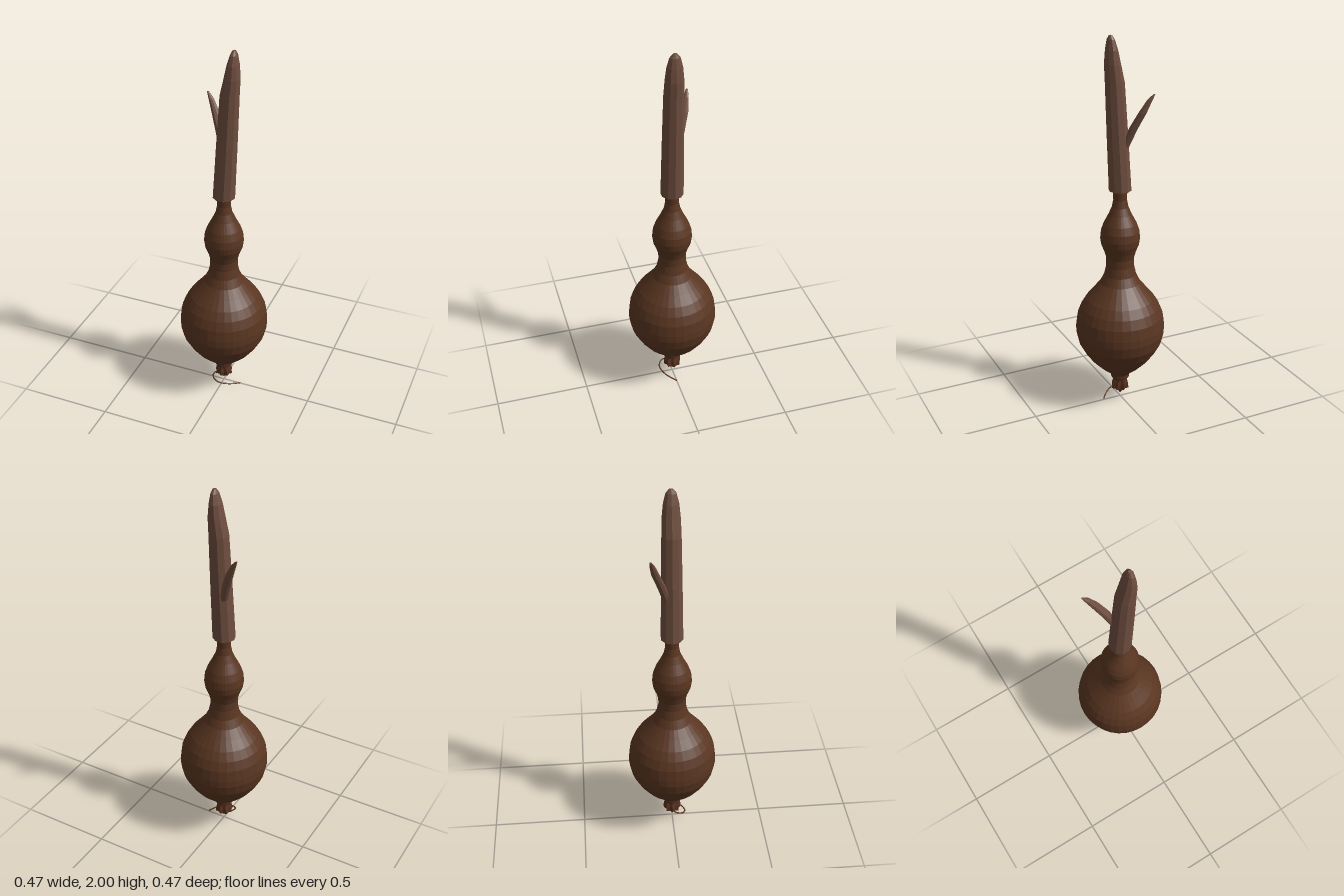
import * as THREE from 'three';

// Faceted normals for a hand-carved look
function faceted(geo) {
  const g = geo.index ? geo.toNonIndexed() : geo;
  g.computeVertexNormals();
  return g;
}

// Closed skin over horizontal elliptical rings [x, y, z, radiusX, radiusZ]
function loft(rings, sides, ripple = () => 1) {
  const pos = [], idx = [], n = rings.length;
  rings.forEach(([x, y, z, rx, rz], i) => {
    for (let j = 0; j < sides; j++) {
      const a = (j / sides) * Math.PI * 2, k = ripple(i, j);
      pos.push(x + Math.cos(a) * rx * k, y, z + Math.sin(a) * rz * k);
    }
  });
  for (const i of [0, n - 1]) pos.push(...rings[i].slice(0, 3));
  for (let j = 0; j < sides; j++) {
    const m = (j + 1) % sides;
    for (let i = 0; i < n - 1; i++) {
      const a = i * sides + j, b = i * sides + m;
      idx.push(a, a + sides, b, b, a + sides, b + sides);
    }
    const t = (n - 1) * sides;
    idx.push(n * sides, j, m, n * sides + 1, t + m, t + j);
  }
  const g = new THREE.BufferGeometry();
  g.setAttribute('position', new THREE.Float32BufferAttribute(pos, 3));
  g.setIndex(idx);
  return faceted(g);
}

export function createModel() {
  const gourdMat = new THREE.MeshStandardMaterial({ color: 0x5a3621 });
  gourdMat.name = 'dark gourd brown';
  const woodMat = new THREE.MeshStandardMaterial({ color: 0x6f4e3f });
  woodMat.name = 'carved wood brown';
  const clothMat = new THREE.MeshStandardMaterial({ color: 0x57311f });
  clothMat.name = 'tie brown';

  const model = new THREE.Group();
  model.name = 'gourdWithStick';
  const add = (name, geo, mat) => {
    const mesh = new THREE.Mesh(geo, mat);
    mesh.name = name;
    model.add(mesh);
  };

  // Double-bulbed gourd with a slim neck
  const profile = [
    [0, 0.14], [0.045, 0.142], [0.062, 0.16], [0.105, 0.195], [0.155, 0.245], [0.192, 0.295],
    [0.222, 0.35], [0.236, 0.41], [0.236, 0.45], [0.228, 0.51], [0.208, 0.56], [0.18, 0.605],
    [0.142, 0.65], [0.106, 0.695], [0.084, 0.74], [0.073, 0.79], [0.073, 0.835], [0.083, 0.87],
    [0.099, 0.91], [0.104, 0.945], [0.1, 0.985], [0.086, 1.025], [0.06, 1.075], [0.043, 1.115],
    [0.035, 1.155], [0.038, 1.21], [0, 1.21],
  ].map(([r, y]) => new THREE.Vector2(r, y));
  add('gourdBody', faceted(new THREE.LatheGeometry(profile, 32)), gourdMat);

  // Leaning carved stick, cut to a slanted point
  add('stick', loft([
    [0, 1.205, 0, 0.059, 0.059],
    [0.015, 1.5, 0, 0.055, 0.055],
    [0.029, 1.77, 0, 0.05, 0.05],
    [0.041, 1.86, 0, 0.041, 0.047],
    [0.046, 1.93, 0, 0.03, 0.04],
    [0.05, 1.98, 0, 0.018, 0.027],
    [0.051, 2, 0, 0.008, 0.01],
  ], 10), woodMat);

  // Side twig pointing up, out and back
  add('twig', loft([
    [-0.015, 1.44, -0.028, 0.02, 0.02],
    [-0.046, 1.54, -0.058, 0.023, 0.022],
    [-0.08, 1.62, -0.087, 0.021, 0.02],
    [-0.111, 1.685, -0.104, 0.014, 0.013],
    [-0.131, 1.715, -0.113, 0.005, 0.005],
  ], 8), woodMat);

  // Gathered tie under the gourd: collar, pinch, pleated skirt and tip
  add('tieCollar', loft([
    [0, 0.118, 0, 0.04, 0.04],
    [0, 0.128, 0, 0.049, 0.049],
    [0, 0.15, 0, 0.05, 0.05],
    [0, 0.16, 0, 0.044, 0.044],
  ], 16), clothMat);
  add('tieSkirt', loft([
    [0, 0.056, 0, 0.022, 0.022],
    [0, 0.06, 0, 0.05, 0.047],
    [0, 0.085, 0, 0.045, 0.048],
    [0, 0.108, 0, 0.036, 0.044],
    [0, 0.126, 0, 0.038, 0.038],
  ], 16, (i, j) => (i > 0 && i < 4 && j % 2 ? 0.78 : 1)), clothMat);
  add('tieTip', loft([
    [0, 0.026, 0, 0.005, 0.005],
    [0, 0.042, 0, 0.015, 0.015],
    [0, 0.062, 0, 0.022, 0.022],
  ], 8), clothMat);

  // Loose curling string
  const path = new THREE.CatmullRomCurve3([
    [-0.01, 0.05, 0], [-0.045, 0.054, 0.02], [-0.045, 0.047, 0.052], [-0.01, 0.035, 0.072],
    [0.04, 0.025, 0.058], [0.075, 0.015, 0.03], [0.1, 0.005, 0],
  ].map((p) => new THREE.Vector3(...p)));
  add('string', new THREE.TubeGeometry(path, 28, 0.004, 6), clothMat);

  return model;
}
